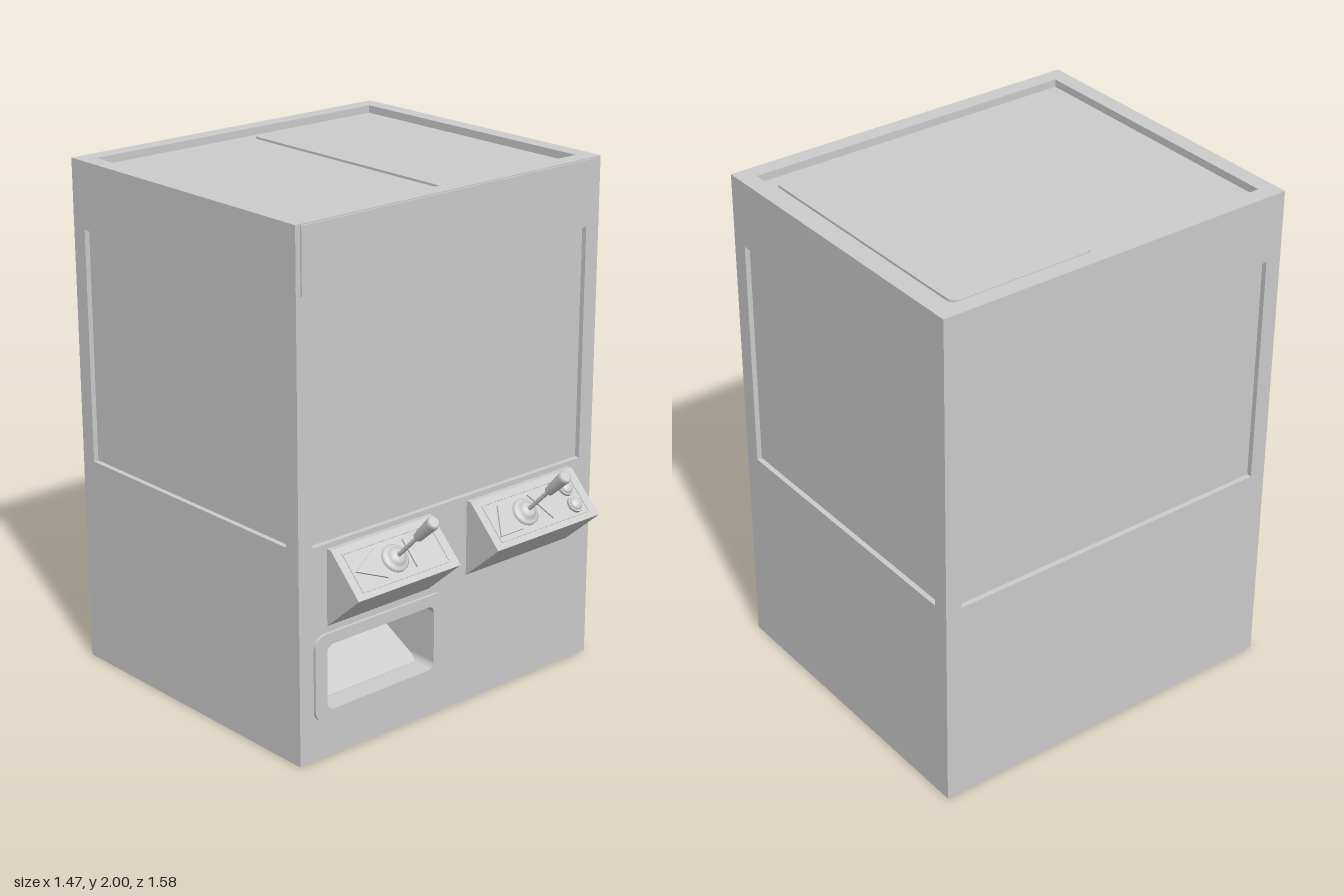
import * as THREE from 'three';

const material = new THREE.MeshStandardMaterial({ color: 0xcccccc, side: THREE.DoubleSide });
const W = 0.735, H = 2, FRONT = 0.475, BACK = -0.79, T = 0.02;
const MID_Z = (FRONT + BACK) / 2;

function add(parent, name, geometry, x = 0, y = 0, z = 0) {
  const mesh = new THREE.Mesh(geometry, material);
  mesh.name = name;
  mesh.position.set(x, y, z);
  parent.add(mesh);
  return mesh;
}

const box = (w, h, d) => new THREE.BoxGeometry(w, h, d);

// Rectangle outline with optional rounded corners
function rect(x0, y0, x1, y1, r = 0) {
  const s = new THREE.Shape();
  if (!r) {
    s.moveTo(x0, y0).lineTo(x1, y0).lineTo(x1, y1).lineTo(x0, y1);
    s.closePath();
    return s;
  }
  s.moveTo(x0 + r, y0);
  s.absarc(x1 - r, y0 + r, r, -Math.PI / 2, 0);
  s.absarc(x1 - r, y1 - r, r, 0, Math.PI / 2);
  s.absarc(x0 + r, y1 - r, r, Math.PI / 2, Math.PI);
  s.absarc(x0 + r, y0 + r, r, Math.PI, Math.PI * 1.5);
  s.closePath();
  return s;
}

function plate(outline, depth, holes = []) {
  outline.holes.push(...holes);
  return new THREE.ExtrudeGeometry(outline, { depth, bevelEnabled: false, curveSegments: 8 });
}

function polygon(points) {
  return new THREE.Shape(points.map(([x, y]) => new THREE.Vector2(x, y)));
}

const chuteHole = (grow = 0) =>
  rect(-0.615 - grow, 0.19 - grow, -0.095 + grow, 0.445 + grow, 0.03 + grow);

function addCabinet(root) {
  const body = new THREE.Group();
  body.name = 'cabinet';
  root.add(body);
  const window = () => rect(-0.67, 0.83, 0.67, 1.74);

  // Front and back walls with recessed windows
  add(body, 'frontWall', plate(rect(-W, 0, W, H), T, [window(), chuteHole()]), 0, 0, FRONT - T);
  add(body, 'frontWindow', box(1.38, 0.95, 0.01), 0, 1.285, FRONT - T - 0.005);
  add(body, 'backWall', plate(rect(-W, 0, W, H), T, [window()]), 0, 0, BACK);
  add(body, 'backWindow', box(1.38, 0.95, 0.01), 0, 1.285, BACK + T + 0.005);

  // Side walls
  const half = (FRONT - BACK) / 2 - T;
  for (const side of [-1, 1]) {
    const wall = add(body, 'sideWall',
      plate(rect(-half, 0, half, H), T, [rect(-0.567, 0.83, 0.567, 1.74)]),
      side * (W - T), 0, MID_Z);
    wall.rotation.y = side * Math.PI / 2;
    add(body, 'sideWindow', box(0.01, 0.95, 1.18), side * (W - T - 0.005), 1.285, MID_Z);
  }

  // Base, roof rim, sunken roof and its hatch
  add(body, 'base', box(2 * W - 2 * T, 0.02, 2 * half), 0, 0.01, MID_Z);
  const rim = add(body, 'roofRim',
    plate(rect(-W + T, -half, W - T, half), 0.04, [rect(-0.67, -0.567, 0.67, 0.567)]),
    0, H - 0.04, MID_Z);
  rim.rotation.x = -Math.PI / 2;
  add(body, 'roof', box(1.4, 0.02, 1.2), 0, H - 0.04, MID_Z);
  const hatch = add(body, 'roofHatch', plate(rect(0.04, -0.365, 0.625, 0.69, 0.035), 0.01), 0, H - 0.031, 0);
  hatch.rotation.x = -Math.PI / 2;

  add(body, 'headerPanel', box(1.415, 0.245, 0.01), -0.007, 1.873, FRONT + 0.002);
}

function addChute(root) {
  const chute = new THREE.Group();
  chute.name = 'prizeChute';
  root.add(chute);
  add(chute, 'chuteBezel', plate(rect(-0.67, 0.15, -0.04, 0.49, 0.05), 0.011, [chuteHole()]), 0, 0, FRONT);
  add(chute, 'chuteTunnel', plate(chuteHole(0.015), 0.43, [chuteHole()]), 0, 0, 0.025);
  add(chute, 'chuteBack', box(0.55, 0.28, 0.01), -0.355, 0.318, 0.02);
  // Sloping floor: side profile in (-z, y), extruded across the opening
  const ramp = add(chute, 'chuteRamp',
    plate(polygon([[-0.4, 0.185], [-0.025, 0.185], [-0.025, 0.39], [-0.4, 0.192]]), 0.52), -0.615, 0, 0);
  ramp.rotation.y = Math.PI / 2;
}

// Joystick standing along +y
function addJoystick(parent, x) {
  const stick = new THREE.Group();
  stick.name = 'joystick';
  stick.position.x = x;
  parent.add(stick);
  const collar = [[0.054, 0], [0.054, 0.008], [0.046, 0.014], [0.036, 0.014], [0.034, 0.024], [0.022, 0.032], [0, 0.034]];
  const lathe = new THREE.LatheGeometry(collar.map(([r, y]) => new THREE.Vector2(r, y)), 24);
  add(stick, 'joystickCollar', lathe);
  add(stick, 'joystickRod', new THREE.CylinderGeometry(0.008, 0.008, 0.16, 16), 0, 0.1, 0);
  const grip = [[0, 0.165], [0.015, 0.165], [0.018, 0.17], [0.025, 0.272], [0.023, 0.283], [0.018, 0.286], [0, 0.286]];
  add(stick, 'joystickGrip', new THREE.LatheGeometry(grip.map(([r, y]) => new THREE.Vector2(r, y)), 20));
}

// Wedge-shaped console; returns a group lying on its tilted face, +y outward
function addConsole(root, name, x0, x1) {
  const console = new THREE.Group();
  console.name = name;
  root.add(console);
  const housing = add(console, 'consoleHousing',
    plate(polygon([[-0.47, 0.51], [-0.47, 0.81], [-0.495, 0.81], [-0.643, 0.662]].reverse()), x1 - x0), x0, 0, 0);
  housing.rotation.y = Math.PI / 2;
  const face = new THREE.Group();
  face.name = 'controlFace';
  face.position.set((x0 + x1) / 2, 0.736, 0.569);
  face.rotation.x = Math.PI / 4;
  console.add(face);
  // Slim raised border
  const w = (x1 - x0) / 2 - 0.035;
  const border = add(face, 'faceBorder',
    plate(rect(-w, -0.08, w, 0.08), 0.003, [rect(-w + 0.005, -0.075, w - 0.005, 0.075)]));
  border.rotation.x = -Math.PI / 2;
  return face;
}

// Raised arrow: angle 0 points up the slope
function addArrow(face, x, angle) {
  const arrow = add(face, 'arrow', plate(polygon([[-0.058, -0.058], [0.058, -0.058], [0, 0.058]]), 0.007), x, 0, 0);
  arrow.rotation.set(-Math.PI / 2, 0, angle);
}

export function createModel() {
  const root = new THREE.Group();
  root.name = 'clawMachine';
  addCabinet(root);
  addChute(root);

  // Console with sideways arrows
  const first = addConsole(root, 'rightConsole', -0.605, -0.115);
  addJoystick(first, -0.01);
  addArrow(first, -0.138, Math.PI / 2);
  addArrow(first, 0.118, -Math.PI / 2);

  // Console with up and down arrows and two buttons
  const second = addConsole(root, 'leftConsole', 0.075, 0.61);
  addJoystick(second, -0.058);
  addArrow(second, -0.166, 0);
  addArrow(second, 0.05, Math.PI);
  for (const z of [-0.036, 0.036]) {
    add(second, 'buttonRing', new THREE.CylinderGeometry(0.033, 0.033, 0.012, 24), 0.182, 0.005, z);
    const cap = add(second, 'buttonCap',
      new THREE.SphereGeometry(0.027, 20, 8, 0, Math.PI * 2, 0, Math.PI / 2), 0.182, 0.01, z);
    cap.scale.y = 0.6;
  }
  return root;
}
